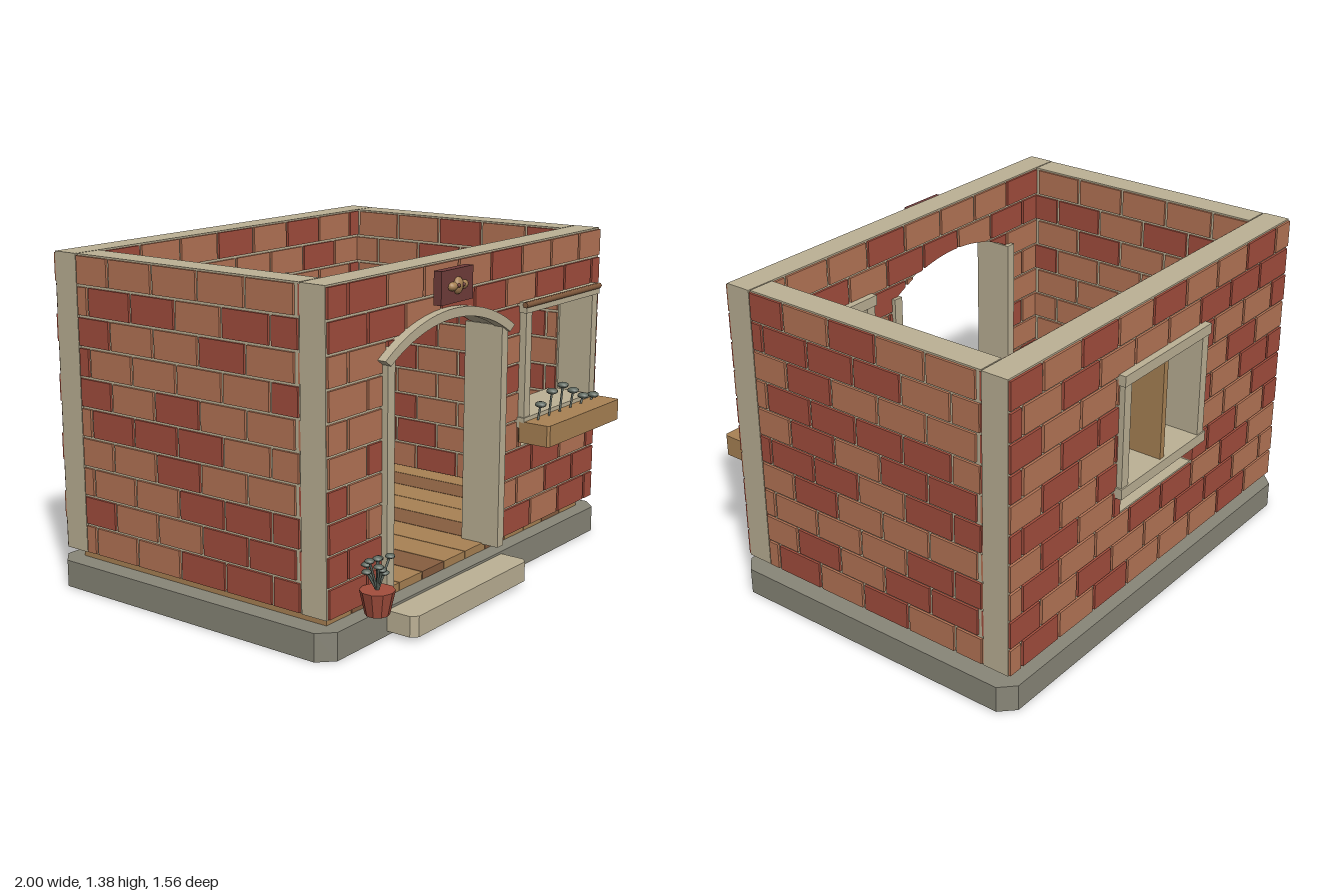
import * as THREE from 'three';
import { mergeGeometries } from 'three/addons/utils/BufferGeometryUtils.js';

function mat(name, color) {
  const m = new THREE.MeshStandardMaterial({ color });
  m.name = name;
  return m;
}

export function createModel() {
  const M = {
    red: mat('red brick', 0xa34e3d),
    clay: mat('clay brick', 0xb67556),
    cream: mat('cream mortar', 0xbcb195),
    stone: mat('grey stone', 0x888678),
    wood: mat('light wood', 0xa98254),
    darkWood: mat('dark wood', 0x875e40),
    maroon: mat('maroon', 0x713d3b),
    leaf: mat('grey green', 0x616b62),
  };
  const house = new THREE.Group();
  house.name = 'brickCottage';

  const add = (name, geo, material, parent = house) => {
    const m = new THREE.Mesh(geo, material);
    m.name = name;
    parent.add(m);
    return m;
  };
  // box given by its limits
  const box = (name, x0, x1, y0, y1, z0, z1, material, parent) => {
    const g = new THREE.BoxGeometry(x1 - x0, y1 - y0, z1 - z0);
    g.translate((x0 + x1) / 2, (y0 + y1) / 2, (z0 + z1) / 2);
    return add(name, g, material, parent);
  };
  const poly = (pts) => new THREE.Shape(pts.map(([x, y]) => new THREE.Vector2(x, y)));
  // shape in the wall plane, extruded both ways from z = 0
  const plate = (shape, half) =>
    new THREE.ExtrudeGeometry(shape, { depth: half * 2, bevelEnabled: false }).translate(0, 0, -half);
  // flat slab with cut corners
  const slab = (name, x0, x1, y0, y1, z0, z1, c, material) => {
    const a = (x1 - x0) / 2, b = (z1 - z0) / 2;
    const s = poly([[-a + c, -b], [a - c, -b], [a, -b + c], [a, b - c], [a - c, b], [-a + c, b], [-a, b - c], [-a, -b + c]]);
    const g = new THREE.ExtrudeGeometry(s, { depth: y1 - y0, bevelEnabled: false });
    g.rotateX(-Math.PI / 2).translate((x0 + x1) / 2, y0, (z0 + z1) / 2);
    return add(name, g, material);
  };
  const rod = (name, from, to, r, material, parent, sides = 6) => {
    const a = new THREE.Vector3(...from), b = new THREE.Vector3(...to);
    const m = add(name, new THREE.CylinderGeometry(r, r, a.distanceTo(b), sides), material, parent);
    m.position.copy(a).add(b).multiplyScalar(0.5);
    m.quaternion.setFromUnitVectors(new THREE.Vector3(0, 1, 0), b.sub(a).normalize());
    return m;
  };
  let seed = 11;
  const rand = () => (seed = (seed * 16807) % 2147483647) / 2147483647;

  // foundation, step and floor boards
  slab('foundation', -1, 1, 0, 0.112, -0.77, 0.645, 0.06, M.stone);
  slab('doorStep', -0.635, 0.17, 0.018, 0.102, 0.6, 0.775, 0.025, M.cream);
  for (let i = 0; i < 12; i++) {
    const x = -0.918 + i * 0.153;
    box('floorBoard', x + 0.002, x + 0.151, 0.112, 0.145, -0.695, 0.575, i % 3 === 1 ? M.darkWood : M.wood);
  }

  // brick walls
  const BOTTOM = 0.155, TOP = 1.38, ROW = (TOP - BOTTOM) / 10, PITCH = 0.232, GAP = 0.014;
  const door = { cx: -0.235, x0: -0.62, x1: 0.15, cy: 0.39, r: 0.78 };
  const archY = (x) => door.cy + Math.sqrt(door.r ** 2 - (x - door.cx) ** 2);
  const sampleX = (a, b) => Array.from({ length: 13 }, (_, i) => a + ((b - a) * i) / 12);
  const winY0 = BOTTOM + 3 * ROW, winY1 = BOTTOM + 8 * ROW;

  const cut = (pieces, x0, x1) => pieces.flatMap(([a, b]) =>
    [[a, Math.min(b, x0)], [Math.max(a, x1), b]].filter(([p, q]) => q - p > 0.008));

  function wall(name, L, { window: win, hasDoor } = {}) {
    const g = new THREE.Group();
    g.name = name;
    const notch = hasDoor
      ? [[door.x0, BOTTOM], ...sampleX(door.x0, door.x1).map((x) => [x, archY(x)]), [door.x1, BOTTOM]] : [];
    const core = poly([[-L, BOTTOM], ...notch, [L, BOTTOM], [L, TOP], [-L, TOP]]);
    if (win) {
      core.holes.push(new THREE.Path([[win[0], winY0], [win[0], winY1], [win[1], winY1], [win[1], winY0]]
        .map(([x, y]) => new THREE.Vector2(x, y))));
    }
    add('mortarCore', plate(core, 0.0575), M.cream, g);

    const bricks = { red: [], clay: [] };
    for (let r = 0; r < 10; r++) {
      const y0 = BOTTOM + r * ROW + 0.004, y1 = y0 + ROW - 0.011;
      const start = 0.08 - 6 * PITCH + (r % 2 ? 0 : PITCH / 2);
      for (let k = 0; k < 12; k++) {
        const a = Math.max(start + k * PITCH + GAP / 2, -L + 0.003);
        const b = Math.min(start + (k + 1) * PITCH - GAP / 2, L - 0.003);
        if (b - a < 0.015) continue;
        const list = rand() < 0.5 ? bricks.red : bricks.clay;
        let pieces = [[a, b]];
        if (win && r >= 3 && r < 8) pieces = cut(pieces, win[0], win[1]);
        if (hasDoor && r < 9) pieces = cut(pieces, door.x0, door.x1);
        for (const [p, q] of pieces) list.push(plate(poly([[p, y0], [q, y0], [q, y1], [p, y1]]), 0.0675));
        // bricks over the doorway follow the arch
        const p = Math.max(a, door.x0), q = Math.min(b, door.x1);
        if (hasDoor && r < 9 && q - p > 0.008) {
          const xs = sampleX(p, q).filter((x) => archY(x) < y1 - 0.002);
          if (xs.length > 1) {
            const low = xs.map((x) => [x, Math.max(y0, archY(x))]);
            list.push(plate(poly([...low, [xs[xs.length - 1], y1], [xs[0], y1]]), 0.0675));
          }
        }
      }
    }
    for (const key of ['red', 'clay']) add(key + 'Bricks', mergeGeometries(bricks[key]), M[key], g);
    house.add(g);
    return g;
  }
  wall('frontWall', 0.965, { window: [0.34, 0.87], hasDoor: true }).position.z = 0.5575;
  wall('backWall', 0.965, { window: [-0.265, 0.265] }).position.z = -0.6825;
  for (const s of [-1, 1]) {
    const side = wall(s > 0 ? 'leftWall' : 'rightWall', 0.5575);
    side.rotation.y = (s * Math.PI) / 2;
    side.position.set(s * 0.9025, 0, -0.0625);
  }

  // window frames running through the wall
  function windowFrame(name, cx, z0, z1) {
    const g = new THREE.Group();
    g.name = name;
    house.add(g);
    box('frameTop', cx - 0.305, cx + 0.305, 1.1, 1.145, z0, z1, M.cream, g);
    box('frameSill', cx - 0.305, cx + 0.305, 0.615, 0.66, z0, z1, M.cream, g);
    for (const s of [-1, 1]) {
      const x = cx + s * 0.275;
      box('frameSide', x - 0.0225, x + 0.0225, 0.66, 1.1, z0 + 0.006, z1 - 0.006, M.cream, g);
    }
    return g;
  }
  windowFrame('backWindow', 0, -0.78, -0.6);
  box('windowMullion', -0.016, 0.012, 0.66, 1.1, -0.765, -0.61, M.wood);
  windowFrame('frontWindow', 0.605, 0.46, 0.66);
  rod('awningRod', [0.29, 1.135, 0.657], [0.91, 1.135, 0.657], 0.013, M.darkWood);

  // door frame with arched cap
  for (const x of [-0.6225, 0.1525]) box('doorPost', x - 0.0225, x + 0.0225, 0.14, 1.075, 0.473, 0.65, M.cream);
  const cap = new THREE.Shape();
  const half = 0.575;
  cap.absarc(door.cx, door.cy, 0.81, Math.PI / 2 - half, Math.PI / 2 + half, false);
  cap.absarc(door.cx, door.cy, 0.772, Math.PI / 2 + half - 0.02, Math.PI / 2 - half + 0.02, true);
  add('doorArch', plate(cap, 0.024).translate(0, 0, 0.638), M.cream);

  // sign with a carved ornament
  box('sign', -0.345, -0.13, 1.225, 1.355, 0.64, 0.675, M.maroon);
  for (const [dx, dy, rx, ry] of [[0, 0, 0.03, 0.034], [-0.036, 0, 0.028, 0.018], [0.036, 0, 0.028, 0.018]]) {
    const o = add('signOrnament', new THREE.SphereGeometry(1, 10, 6), M.wood);
    o.scale.set(rx, ry, 0.018);
    o.position.set(-0.2375 + dx, 1.29 + dy, 0.677);
  }
  for (const dx of [-0.016, 0.016]) {
    const o = add('ornamentBead', new THREE.SphereGeometry(0.008, 6, 5), M.maroon);
    o.position.set(-0.2375 + dx, 1.293, 0.692);
  }

  // fireplace
  box('fireplaceBody', -0.495, -0.03, 0.145, 0.36, -0.625, -0.475, M.stone);
  box('mantelShelf', -0.52, 0, 0.36, 0.405, -0.625, -0.455, M.darkWood);
  box('firebox', -0.385, -0.135, 0.175, 0.328, -0.476, -0.469, M.maroon);
  for (let i = 0; i < 5; i++) {
    const t = i % 2 ? 0.006 : -0.004;
    rod('log', [-0.355, 0.19 + i * 0.014 - t, -0.449], [-0.2, 0.19 + i * 0.014 + t, -0.44], 0.009, M.darkWood);
  }

  // flower heads on stems
  const flower = (from, to, r, parent) => {
    rod('stem', from, to, 0.005, M.leaf, parent, 5);
    const head = add('flowerHead', new THREE.SphereGeometry(r, 8, 5), M.leaf, parent);
    head.scale.y = 0.5;
    head.position.set(...to);
  };

  // window box
  slab('windowBox', 0.3, 0.905, 0.553, 0.643, 0.627, 0.78, 0.01, M.wood);
  [0.705, 0.745, 0.755, 0.715, 0.675, 0.662].forEach((y, i) => {
    const x = 0.39 + i * 0.09;
    flower([x - 0.02, 0.64, 0.685], [x, y, 0.685], 0.026);
  });

  // potted plant
  const plant = new THREE.Group();
  plant.name = 'pottedPlant';
  plant.position.set(-0.765, 0, 0.695);
  house.add(plant);
  const pot = new THREE.CylinderGeometry(0.068, 0.047, 0.095, 10).toNonIndexed();
  pot.computeVertexNormals();
  add('pot', pot.translate(0, 0.188, 0), M.red, plant);
  for (let i = 0; i < 9; i++) {
    const a = i * 2.4, r = i ? 0.025 + (i % 3) * 0.015 : 0;
    flower([0, 0.23, 0], [Math.cos(a) * r, 0.355 - (i % 4) * 0.018, Math.sin(a) * r], 0.02, plant);
  }
  return house;
}
